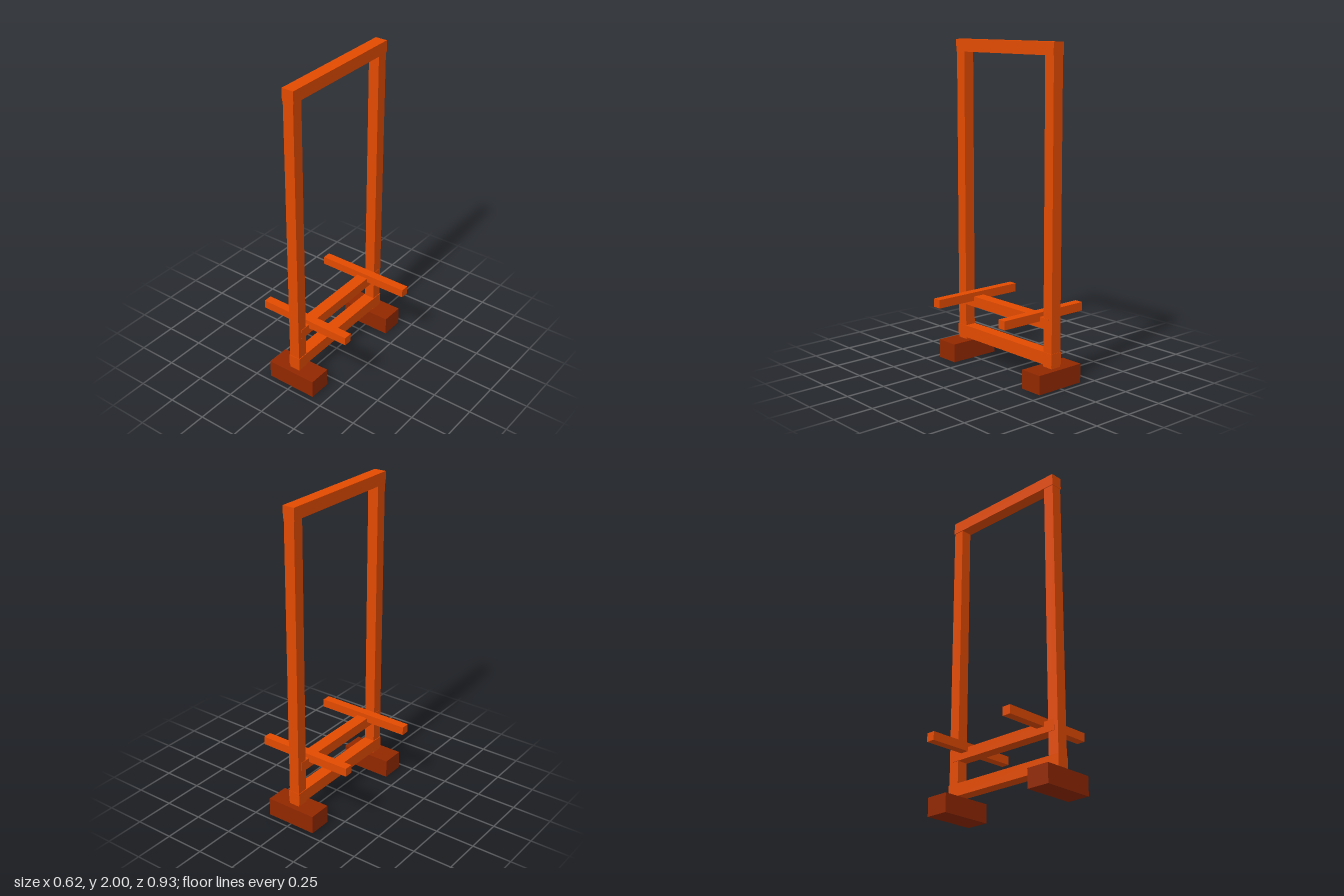
import * as THREE from 'three';

export function createModel() {
  const model = new THREE.Group();
  const orange = new THREE.MeshStandardMaterial({ color: 0xe34a00 });
  orange.name = 'orange frame';
  const brown = new THREE.MeshStandardMaterial({ color: 0x922800 });
  brown.name = 'dark brown feet';

  // Box spanning the width w about x = 0, between the given heights and depths
  function beam(name, material, w, y0, y1, z0, z1) {
    const mesh = new THREE.Mesh(new THREE.BoxGeometry(w, y1 - y0, z1 - z0), material);
    mesh.position.set(0, (y0 + y1) / 2, (z0 + z1) / 2);
    mesh.name = name;
    model.add(mesh);
  }

  // Rails running front to back
  beam('topRail', orange, 0.078, 1.925, 2, -0.428, 0.428);
  beam('middleRail', orange, 0.076, 0.346, 0.412, -0.4, 0.4);
  beam('bottomRail', orange, 0.078, 0.13, 0.207, -0.428, 0.428);

  // Post, foot and cross arm at each end
  for (const [end, s] of [['front', 1], ['back', -1]]) {
    const pair = (a, b) => (s > 0 ? [a, b] : [-b, -a]);
    beam(end + 'Post', orange, 0.07, 0.115, 1.93, ...pair(0.356, 0.426));
    beam(end + 'Foot', brown, 0.331, 0, 0.116, ...pair(0.316, 0.464));
    beam(end + 'Arm', orange, 0.622, 0.385, 0.438, ...pair(0.273, 0.328));
  }
  return model;
}
